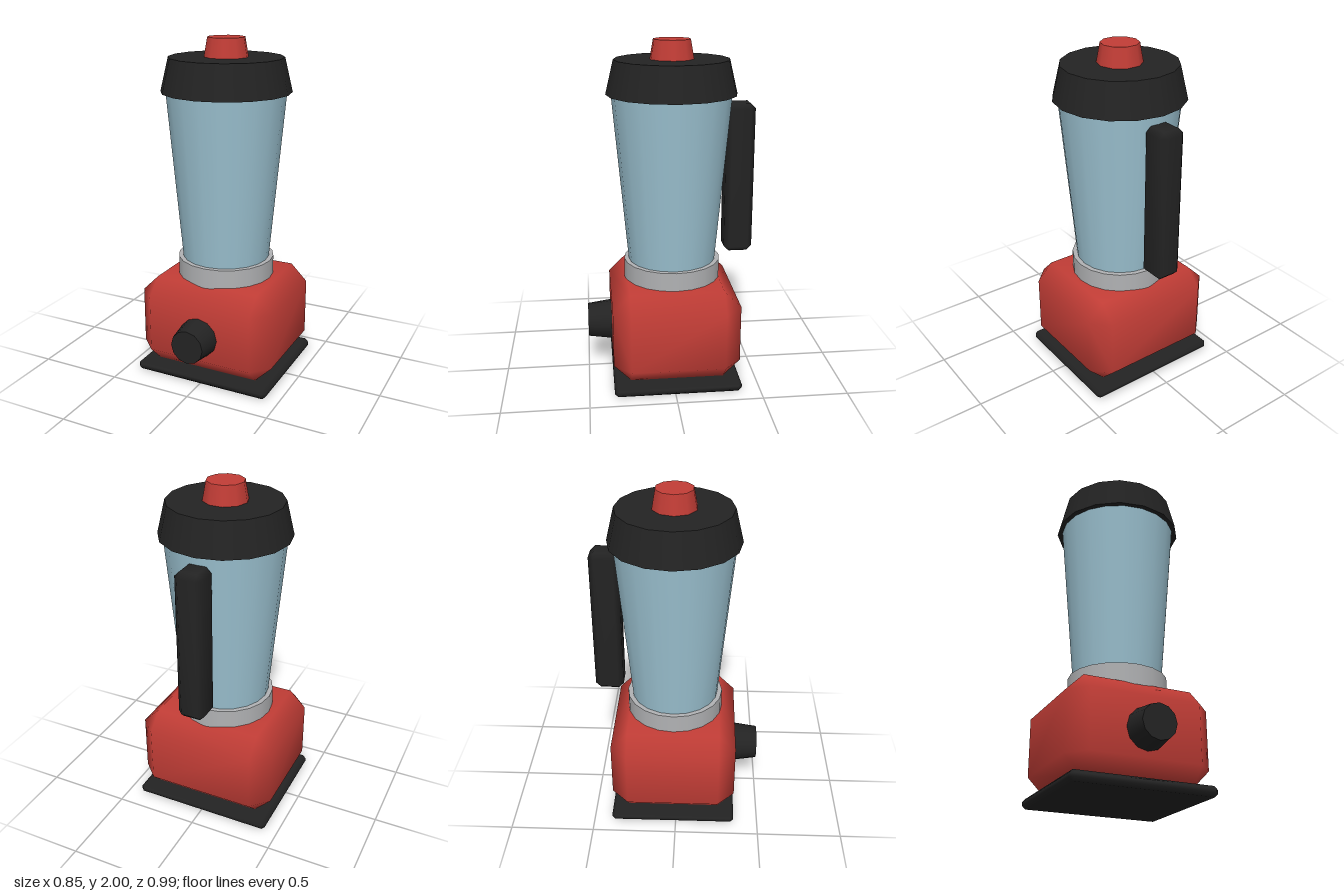
import * as THREE from 'three';
import { mergeVertices } from 'three/addons/utils/BufferGeometryUtils.js';
import { ConvexGeometry } from 'three/addons/geometries/ConvexGeometry.js';

const mat = (name, color) => {
  const m = new THREE.MeshStandardMaterial({ color });
  m.name = name;
  return m;
};

// Box with every edge cut by one bevel, shaded smoothly
function bevelBox(w, h, d, b) {
  const points = [];
  for (const x of [-w / 2, w / 2]) for (const y of [-h / 2, h / 2]) for (const z of [-d / 2, d / 2]) {
    const ix = x - Math.sign(x) * b, iy = y - Math.sign(y) * b, iz = z - Math.sign(z) * b;
    points.push(new THREE.Vector3(x, iy, iz), new THREE.Vector3(ix, y, iz), new THREE.Vector3(ix, iy, z));
  }
  let g = new ConvexGeometry(points);
  g.deleteAttribute('normal');
  g = mergeVertices(g, 1e-4);
  g.computeVertexNormals();
  return g;
}

export function createModel() {
  const red = mat('red enamel', 0xc23d36);
  const black = mat('black plastic', 0x232323);
  const glass = mat('blue glass', 0x9bc1d0);
  const steel = mat('grey metal', 0xb1b2b4);
  const model = new THREE.Group();
  model.name = 'blender';
  const axisZ = -0.018; // centre line of base and jar

  const add = (name, geometry, material, x, y, z) => {
    const mesh = new THREE.Mesh(geometry, material);
    mesh.name = name;
    mesh.position.set(x, y, z);
    model.add(mesh);
    return mesh;
  };
  // Tapered round part standing between two heights
  const round = (name, rTop, rBottom, y0, y1, sides, material) =>
    add(name, new THREE.CylinderGeometry(rTop, rBottom, y1 - y0, sides), material, 0, (y0 + y1) / 2, axisZ);

  // Motor base
  add('foot', bevelBox(0.845, 0.06, 0.745, 0.02), black, 0, 0.03, axisZ);
  add('motorBase', bevelBox(0.845, 0.54, 0.745, 0.1), red, 0, 0.33, axisZ);

  // Control knob on the front
  const knob = add('controlKnob', new THREE.CylinderGeometry(0.1, 0.12, 0.145, 12), black, 0, 0.312, 0.4225);
  knob.rotation.x = Math.PI / 2;

  // Jar stack
  round('collar', 0.287, 0.287, 0.59, 0.71, 20, steel);
  round('jar', 0.347, 0.255, 0.66, 1.7, 20, glass);
  round('lid', 0.33, 0.377, 1.695, 1.89, 16, black);
  round('lidCap', 0.108, 0.129, 1.885, 2.0, 10, red).rotation.y = Math.PI / 2;

  // Handle at the back
  add('handle', bevelBox(0.16, 0.89, 0.168, 0.03), black, 0, 1.195, -0.411);

  return model;
}
